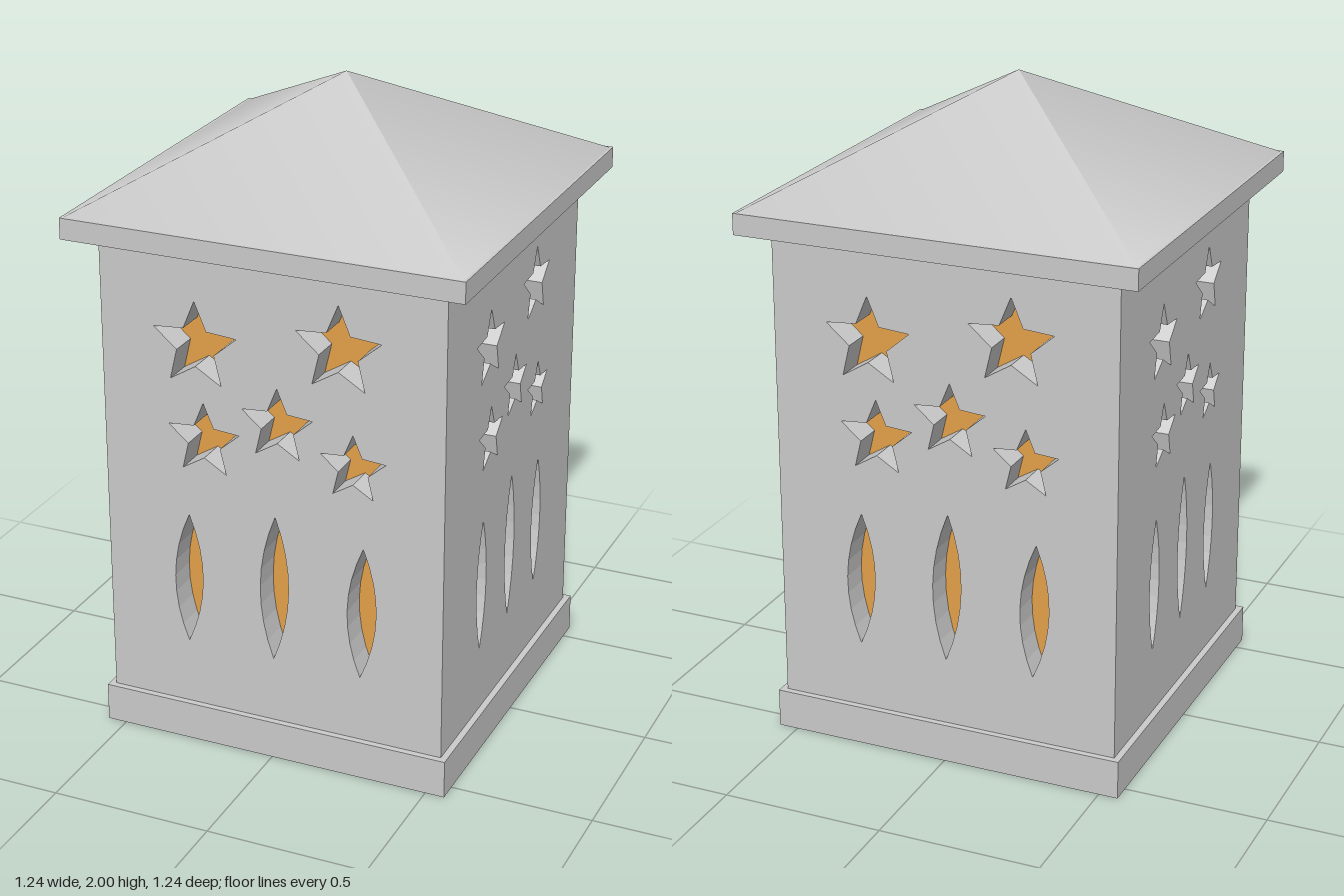
import * as THREE from 'three';

const grey = new THREE.MeshStandardMaterial({ color: 0xcccccc });
const amber = new THREE.MeshStandardMaterial({ color: 0xe5a24a });

const HALF = 0.54;             // half width of the body
const THICK = 0.09;            // wall thickness
const BASE_TOP = 0.12;
const WALL_TOP = 1.6;

// Star cut-outs [x, y, radius] and slit cut-outs [x, bottom, top]
const STARS = [
  [-0.238, 1.3, 0.139], [0.212, 1.36, 0.139], [0.02, 1.094, 0.118],
  [-0.216, 1.005, 0.12], [0.257, 1.003, 0.107],
];
const SLITS = [[-0.276, 0.33, 0.755], [0.005, 0.33, 0.802], [0.285, 0.33, 0.755]];

function starHole(x, y, radius) {
  const points = [];
  for (let i = 0; i < 10; i++) {
    const r = i % 2 ? radius * 0.45 : radius;
    const a = Math.PI / 2 + (i * Math.PI) / 5;
    points.push(new THREE.Vector2(x + r * Math.cos(a), y + r * Math.sin(a)));
  }
  return new THREE.Path(points);
}

function slitHole(x, bottom, top, bulge) {
  const mid = (bottom + top) / 2;
  const path = new THREE.Path();
  path.moveTo(x - 0.005, bottom);
  path.quadraticCurveTo(x + bulge, mid, x + 0.005, top);
  path.quadraticCurveTo(x - bulge, mid, x - 0.005, bottom);
  return path;
}

// Pierced wall panel; spread narrows the pattern on the side walls
function wall(name, halfWidth, spread, angle) {
  const shape = new THREE.Shape([
    new THREE.Vector2(-halfWidth, BASE_TOP), new THREE.Vector2(halfWidth, BASE_TOP),
    new THREE.Vector2(halfWidth, WALL_TOP), new THREE.Vector2(-halfWidth, WALL_TOP),
  ]);
  for (const [x, y, r] of STARS) shape.holes.push(starHole(x * spread, y, r * spread));
  for (const [x, b, t] of SLITS) shape.holes.push(slitHole(x * spread, b, t, 0.092 * spread));
  const geometry = new THREE.ExtrudeGeometry(shape, { depth: THICK, bevelEnabled: false, curveSegments: 8 });
  geometry.translate(0, 0, HALF - THICK);
  const mesh = new THREE.Mesh(geometry, grey);
  mesh.name = name;
  mesh.rotation.y = angle;
  return mesh;
}

// Square slab from y0 to y1
function slab(name, half, y0, y1, material = grey) {
  const mesh = new THREE.Mesh(new THREE.BoxGeometry(half * 2, y1 - y0, half * 2), material);
  mesh.name = name;
  mesh.position.y = (y0 + y1) / 2;
  return mesh;
}

export function createModel() {
  const lantern = new THREE.Group();
  lantern.name = 'lantern';

  lantern.add(slab('base', 0.56, 0, BASE_TOP));

  // Four pierced walls around a glowing core
  const inner = HALF - THICK;
  lantern.add(wall('frontWall', HALF, 1, 0));
  lantern.add(wall('backWall', HALF, 1, Math.PI));
  lantern.add(wall('leftWall', inner, 0.84, Math.PI / 2));
  lantern.add(wall('rightWall', inner, 0.84, -Math.PI / 2));
  lantern.add(slab('glowCore', inner, BASE_TOP, WALL_TOP, amber));

  lantern.add(slab('eave', 0.62, 1.597, 1.662));

  // Pyramid roof with softly shaded faces
  const roof = new THREE.Mesh(new THREE.ConeGeometry(0.612 * Math.SQRT2, 0.338, 4), grey);
  roof.name = 'roof';
  roof.rotation.y = Math.PI / 4;
  roof.position.y = 1.662 + 0.169;
  lantern.add(roof);

  return lantern;
}
